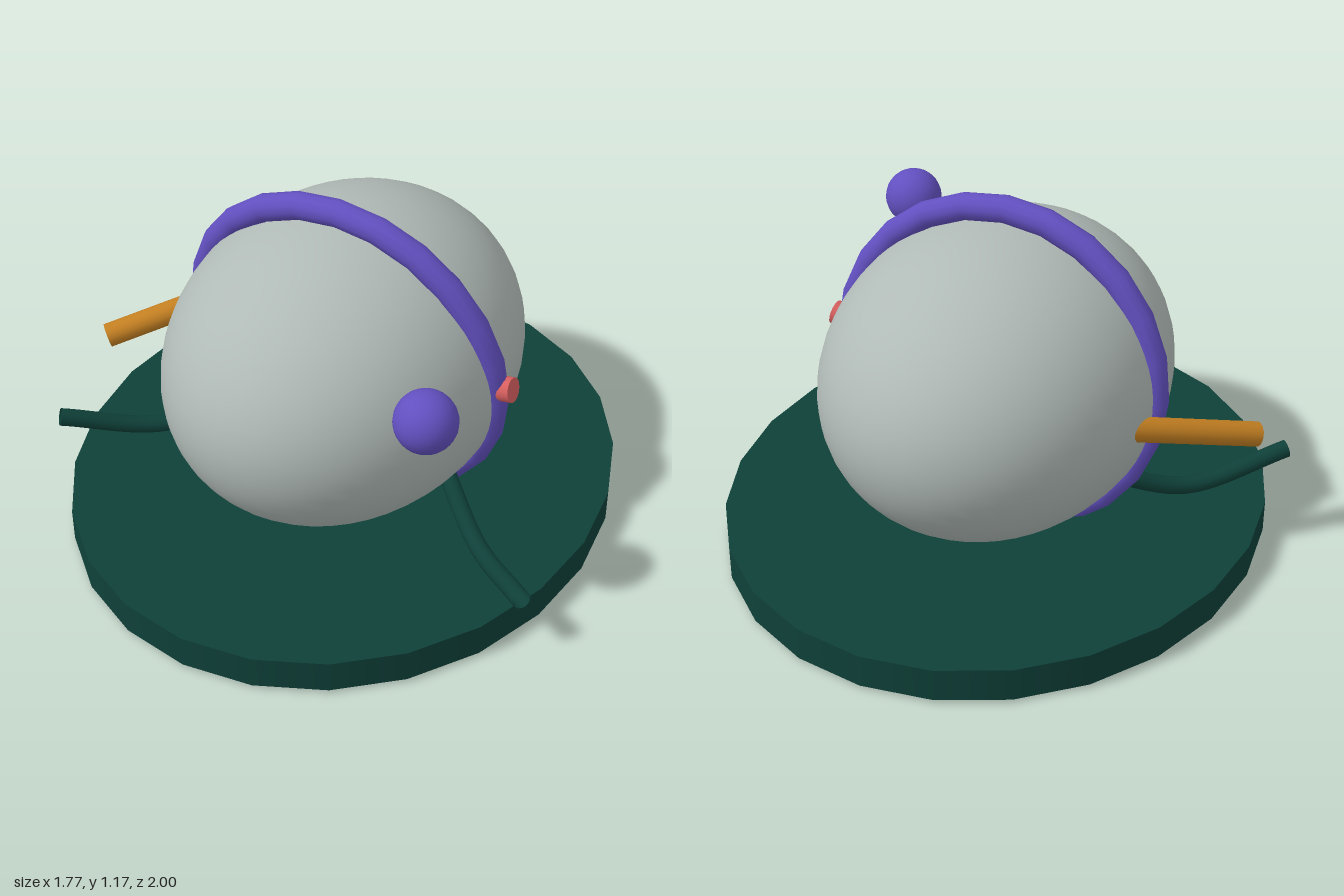
import * as THREE from 'three';

const mat = (name, color, side = THREE.FrontSide) => {
  const m = new THREE.MeshStandardMaterial({ color, side });
  m.name = name;
  return m;
};

export function createModel() {
  const group = new THREE.Group();
  const green = mat('deepGreen', 0x0f4039, THREE.DoubleSide);
  const grey = mat('paleGrey', 0xb0bab6);
  const purple = mat('purple', 0x6250c0);
  const orange = mat('amber', 0xc48022);
  const red = mat('coral', 0xd65f5f);

  const add = (name, geometry, material, x = 0, y = 0, z = 0) => {
    const mesh = new THREE.Mesh(geometry, material);
    mesh.name = name;
    mesh.position.set(x, y, z);
    group.add(mesh);
    return mesh;
  };

  // Straight rod between two points
  const rod = (name, from, to, radius, material) => {
    const a = new THREE.Vector3(...from), b = new THREE.Vector3(...to);
    const dir = b.clone().sub(a);
    const mid = a.clone().add(b).multiplyScalar(0.5);
    const mesh = add(name, new THREE.CylinderGeometry(radius, radius, dir.length(), 16), material, ...mid);
    mesh.quaternion.setFromUnitVectors(new THREE.Vector3(0, 1, 0), dir.normalize());
  };

  // Oval base plate
  add('base', new THREE.CylinderGeometry(1, 1, 0.113, 24), green, 0, 0.0685, 0).scale.set(0.885, 1, 1);

  // Egg-shaped body
  add('body', new THREE.SphereGeometry(1, 48, 32), grey, 0, 0.575, 0).scale.set(0.553, 0.5, 0.692);

  // Band leaning forward around the body
  add('band', new THREE.TorusGeometry(0.542, 0.045, 12, 24), purple, 0, 0.588, 0).rotation.x = 0.093;

  // Floating ball at the front left
  add('ball', new THREE.SphereGeometry(0.097, 24, 16), purple, 0.555, 0.855, 0.5);

  // Button on the band and spout on the other side
  rod('button', [0.545, 0.628, 0], [0.602, 0.64, 0], 0.041, red);
  rod('spout', [-0.47, 0.565, -0.165], [-0.828, 0.432, 0.186], 0.041, orange);

  // Curved stalks, mirrored left and right
  for (const s of [1, -1]) {
    const path = new THREE.CatmullRomCurve3([
      new THREE.Vector3(s * 0.38, 0.255, 0.02),
      new THREE.Vector3(s * 0.6, 0.155, 0.205),
      new THREE.Vector3(s * 0.865, 0.235, 0.435),
    ]);
    add(s > 0 ? 'leftStalk' : 'rightStalk', new THREE.TubeGeometry(path, 20, 0.03, 12), green);
  }
  return group;
}
